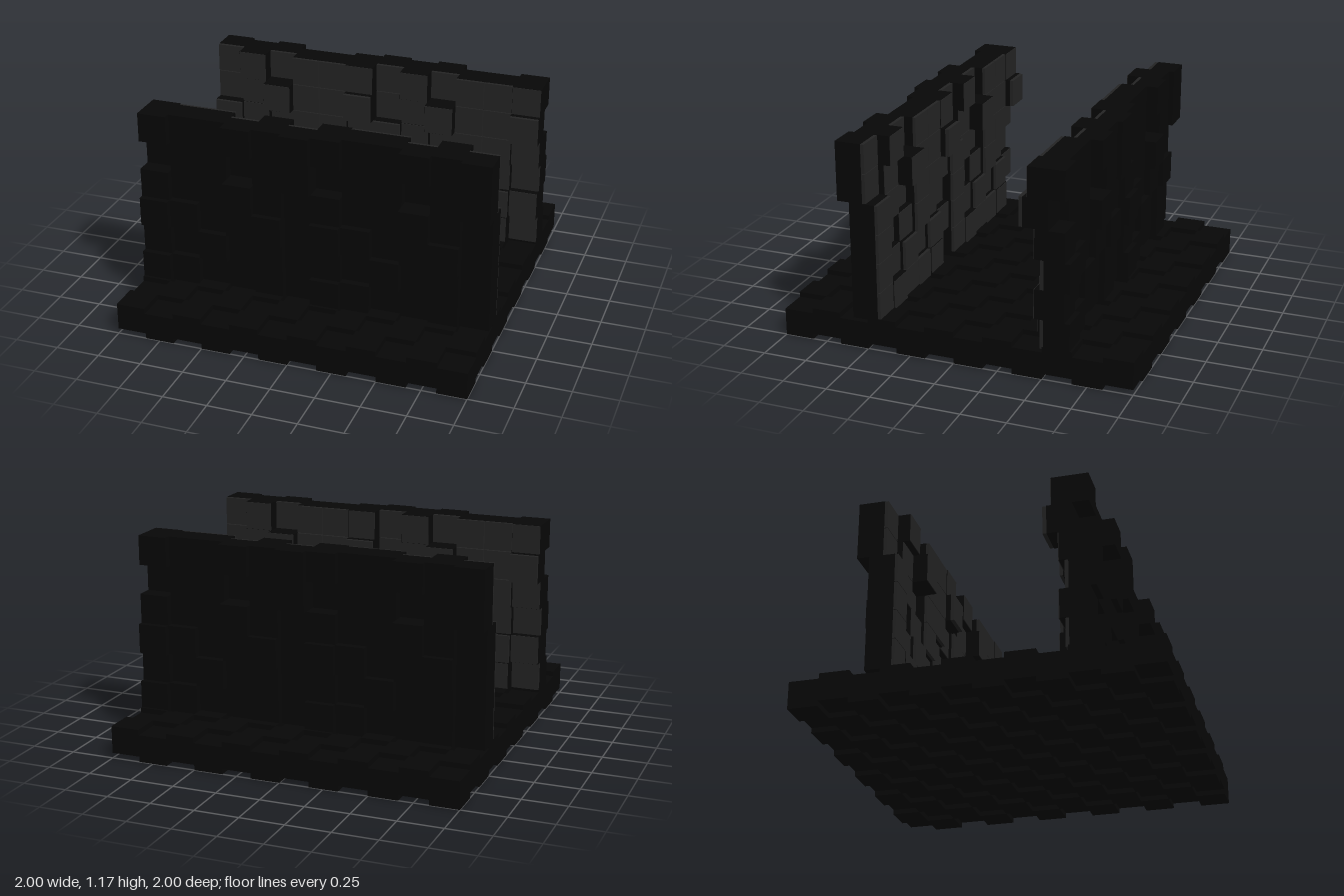
import * as THREE from 'three';

const N = 12;
const CELL = 2 / N;
const FLOOR_TOP = 0.172;

// Block kinds: inner face distance, outer face distance, thickness of the light plate
const KINDS = {
  r: [0.487, 0.653, 0.02], // recessed
  h: [0.452, 0.622, 0.005], // half recessed
  m: [0.42, 0.584, 0.018], // main
  f: [0.414, 0.622, 0.004], // full depth
  p: [0.366, 0.531, 0.004], // protruding
  q: [0.37, 0.531, 0.022], // protruding with a thick plate
};
// Wall rows from bottom to top, repeating every six columns
const PATTERN = ['mfmmfr', 'mhmhmh', 'mrhmhr', 'mhrmmh', 'rhpmmq', 'rfrmmf'];

export function createModel() {
  const model = new THREE.Group();
  const dark = new THREE.MeshStandardMaterial({ color: 0x070707 });
  const grey = new THREE.MeshStandardMaterial({ color: 0x232323 });

  const addBox = (parent, name, material, size, position) => {
    const mesh = new THREE.Mesh(new THREE.BoxGeometry(...size), material);
    mesh.name = name;
    mesh.position.set(...position);
    parent.add(mesh);
  };

  // Floor of square tiles, alternately raised and lowered
  const floor = new THREE.Group();
  floor.name = 'floor';
  const thick = 0.155;
  const step = 0.03;
  for (let i = 0; i < N; i++) {
    for (let j = 0; j < N; j++) {
      const lift = (i + j) % 2 ? step : 0;
      addBox(floor, 'floorTile', dark, [CELL, thick, CELL],
        [-1 + (i + 0.5) * CELL, thick / 2 + lift, -1 + (j + 0.5) * CELL]);
    }
  }
  model.add(floor);

  // Wall of staggered blocks with a lighter plate on each inner face
  const makeWall = (name) => {
    const wall = new THREE.Group();
    wall.name = name;
    PATTERN.forEach((row, r) => {
      for (let c = 0; c < N; c++) {
        const [inner, outer, plate] = KINDS[row[c % 6]];
        const x = -1 + (c + 0.5) * CELL;
        const y = FLOOR_TOP + (r + 0.5) * CELL;
        addBox(wall, 'wallBlock', dark, [CELL, CELL, outer - inner - plate],
          [x, y, -(inner + plate + outer) / 2]);
        addBox(wall, 'innerPlate', grey, [CELL - 0.004, CELL - 0.004, plate],
          [x, y, -inner - plate / 2]);
      }
    });
    return wall;
  };

  // The front wall is the back wall turned half round
  const backWall = makeWall('backWall');
  const frontWall = makeWall('frontWall');
  frontWall.rotation.y = Math.PI;
  model.add(backWall, frontWall);

  return model;
}
